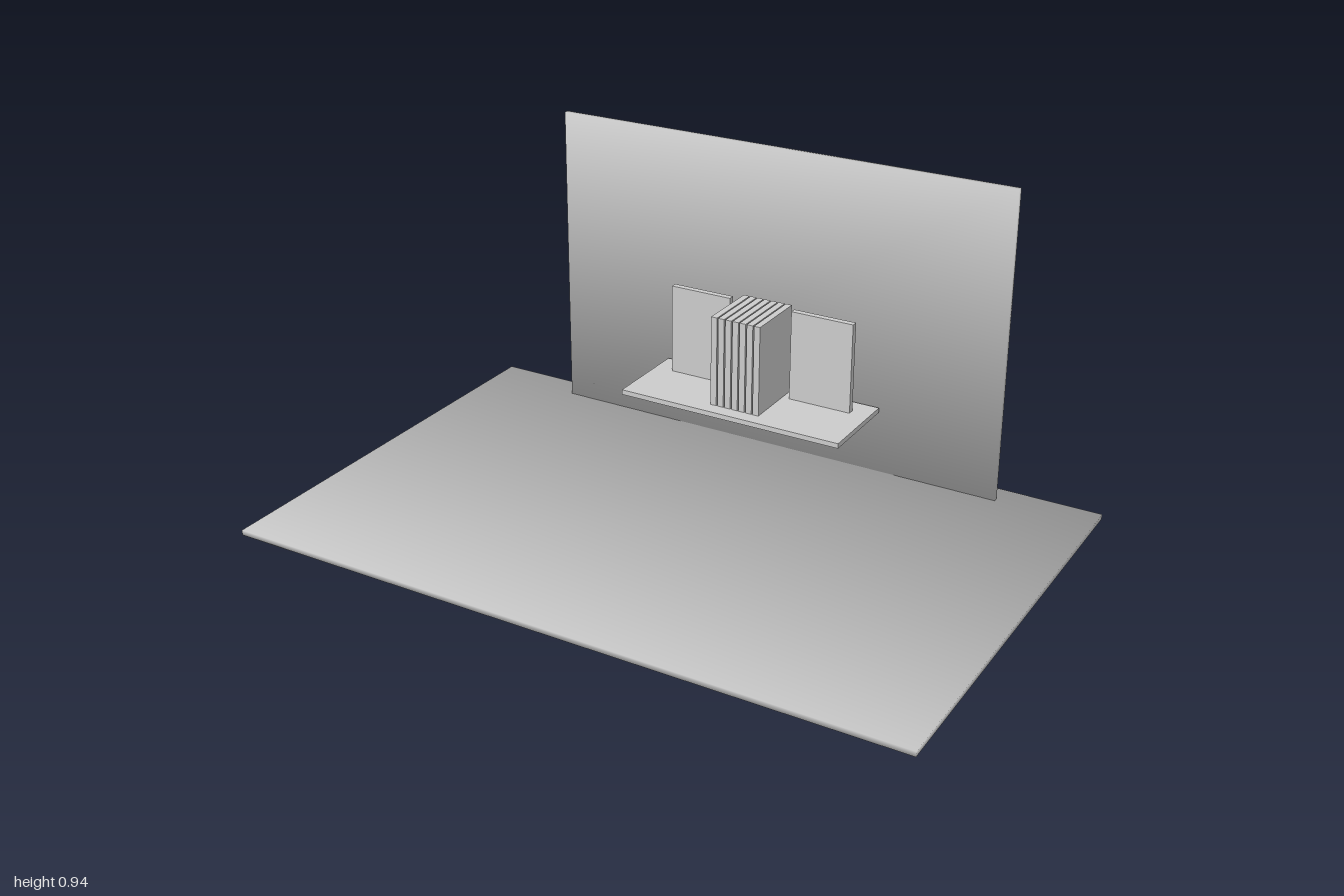
import * as THREE from 'three';

const grey = new THREE.MeshStandardMaterial({ color: 0xcccccc });
grey.name = 'light grey';

// Box given by its size, its centre in x and z, and its bottom height
function box(name, [w, h, d], [x, bottom, z]) {
  const mesh = new THREE.Mesh(new THREE.BoxGeometry(w, h, d), grey);
  mesh.name = name;
  mesh.position.set(x, bottom + h / 2, z);
  return mesh;
}

// Point each corner normal diagonally outwards so shading runs smoothly over the slab
function softenCorners(mesh) {
  const { position, normal } = mesh.geometry.attributes;
  const n = new THREE.Vector3();
  for (let i = 0; i < position.count; i++) {
    n.set(Math.sign(position.getX(i)), Math.sign(position.getY(i)), Math.sign(position.getZ(i))).normalize();
    normal.setXYZ(i, n.x, n.y, n.z);
  }
  return mesh;
}

export function createModel() {
  const model = new THREE.Group();
  model.name = 'bookshelfDisplay';

  // Room surfaces
  model.add(softenCorners(box('floor', [2, 0.015, 1.28], [0, 0, 0])));
  model.add(softenCorners(box('wall', [1.426, 0.922, 0.014], [0, 0.015, -0.571])));

  // Floating shelf
  model.add(box('shelf', [0.7, 0.015, 0.267], [0, 0.207, -0.42]));

  const length = 0.193, height = 0.272, thickness = 0.019, shelfTop = 0.222;

  // Row of books standing spine out
  const row = new THREE.Group();
  row.name = 'bookRow';
  for (let i = -3; i <= 3; i++) {
    row.add(box('book', [thickness, height, length], [i * 0.0228, shelfTop, -0.427]));
  }
  model.add(row);

  // One book on each side showing its cover
  for (const side of [-1, 1]) {
    model.add(box(side > 0 ? 'leftFacingBook' : 'rightFacingBook',
      [length, height, thickness], [side * 0.196, shelfTop, -0.488]));
  }
  return model;
}
